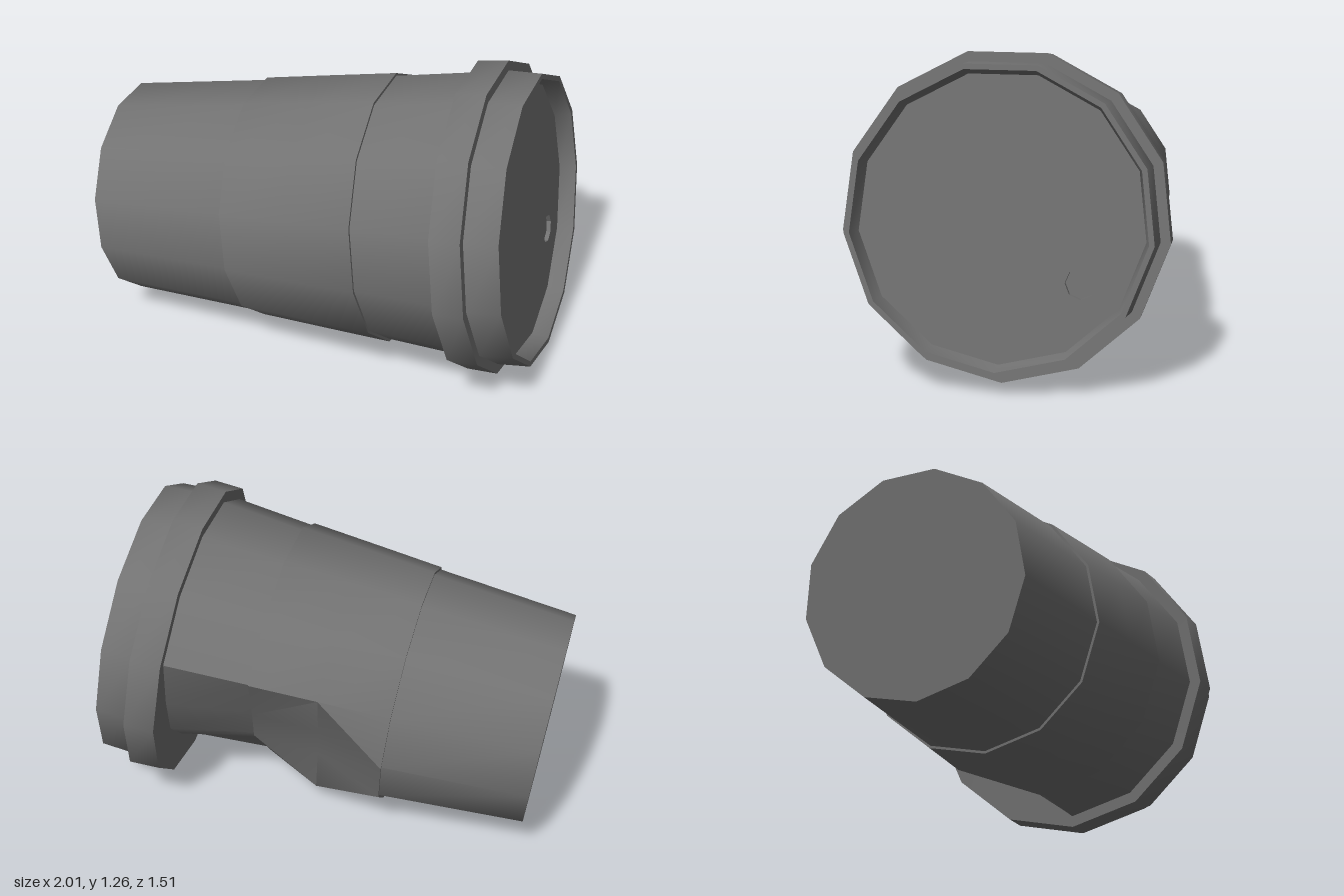
import * as THREE from 'three';
import { toCreasedNormals } from 'three/addons/utils/BufferGeometryUtils.js';

const SIDES = 13;
const darkPaper = new THREE.MeshStandardMaterial({ color: 0x727272, side: THREE.DoubleSide });

// Smooth around the cup, sharp at steps and folds
function part(name, geometry) {
  const mesh = new THREE.Mesh(toCreasedNormals(geometry, 0.55), darkPaper);
  mesh.name = name;
  return mesh;
}

// Thirteen-sided turned shape from [radius, height] rows. A row may carry a third
// entry: the radii of the three crushed columns beside the seam. Each fold
// [column, row] turns the diagonal of one quad so that the crease runs along it.
function turned(rows, folds = []) {
  const points = rows.map(([r, y]) => new THREE.Vector2(r, y));
  const geometry = new THREE.LatheGeometry(points, SIDES, Math.PI);
  const pos = geometry.attributes.position;
  const n = rows.length;
  rows.forEach(([r, , dent = []], j) => dent.forEach((radius, k) => {
    const i = (k + 1) * n + j;
    pos.setX(i, pos.getX(i) * radius / r);
    pos.setZ(i, pos.getZ(i) * radius / r);
  }));
  for (const [i, j] of folds) {
    const a = i * n + j, b = a + n, c = b + 1, d = a + 1;
    geometry.index.array.set([a, b, c, a, c, d], 6 * (i * (n - 1) + j));
  }
  return geometry;
}

// Points of a regular polygon
function polygon(radius, sides, cx = 0, cy = 0) {
  return Array.from({ length: sides }, (_, i) => {
    const a = i / sides * Math.PI * 2;
    return new THREE.Vector2(cx + radius * Math.sin(a), cy + radius * Math.cos(a));
  });
}

export function createModel() {
  const model = new THREE.Group();
  model.name = 'crushedCup';

  // Paper cup with its closed base, dented on one side
  model.add(part('cup', turned([
    [0, 0], [0.451, 0], [0.5, 0.596],
    [0.526, 0.89, [0.526, 0.385, 0.385]],
    [0.551, 1.17, [0.392, 0.38, 0.392]],
    [0.587, 1.53, [0.47, 0.46, 0.47]],
  ], [[3, 2], [1, 3]])));

  // Sleeve around the cup, following the dent
  model.add(part('sleeve', turned([
    [0.498, 0.596], [0.51, 0.596],
    [0.537, 0.89, [0.537, 0.397, 0.397]],
    [0.562, 1.17, [0.404, 0.392, 0.404]],
    [0.55, 1.17, [0.39, 0.378, 0.39]],
  ], [[3, 1], [1, 2]])));

  // Stepped lid with a raised rim
  model.add(part('lid', turned([
    [0.44, 1.52], [0.633, 1.515], [0.639, 1.64], [0.6, 1.64],
    [0.594, 1.775], [0.573, 1.775], [0.555, 1.708],
  ])));

  // Sunken lid panel with the drinking hole
  const hole = [-0.308, 0.232];
  const panelShape = new THREE.Shape(polygon(0.556, SIDES));
  panelShape.holes.push(new THREE.Path(polygon(0.06, 8, ...hole)));
  const panel = new THREE.ExtrudeGeometry(panelShape, { depth: 0.02, bevelEnabled: false });
  // The panel's corners fall on those of the lid
  panel.rotateX(-Math.PI / 2).rotateY(Math.PI * 2).translate(0, 1.688, 0);
  model.add(part('lidPanel', panel));

  const plug = new THREE.CircleGeometry(0.062, 8);
  plug.translate(hole[0], hole[1], 0).rotateX(-Math.PI / 2).translate(0, 1.69, 0);
  model.add(part('drinkingHole', plug));

  // Lay the cup on its side
  const axis = new THREE.Vector3(0.951, 0.118, -0.288).normalize();
  const up = new THREE.Vector3(0, 1, 0).addScaledVector(axis, -axis.y).normalize();
  const side = new THREE.Vector3().crossVectors(axis, up);
  model.quaternion.setFromRotationMatrix(new THREE.Matrix4().makeBasis(side, axis, up));
  model.position.set(-0.865, 0.451, 0.333);

  const root = new THREE.Group();
  root.add(model);
  return root;
}
